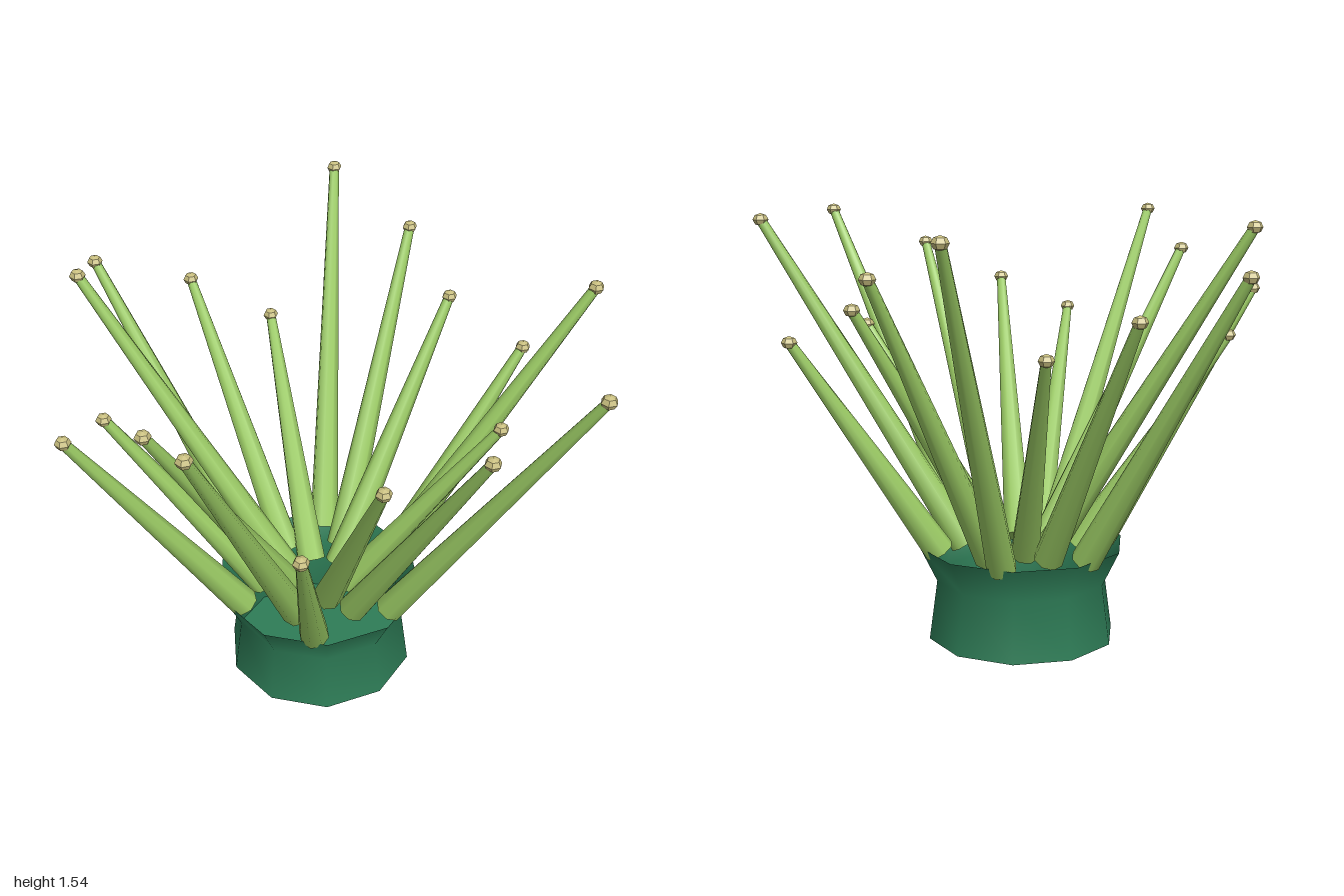
import * as THREE from 'three';

export function createModel() {
  const model = new THREE.Group();
  model.name = 'spikyPlant';
  const potGreen = new THREE.MeshStandardMaterial({ color: 0x2e7d57, side: THREE.DoubleSide });
  const leafGreen = new THREE.MeshStandardMaterial({ color: 0x9ccc65 });
  const tipYellow = new THREE.MeshStandardMaterial({ color: 0xc9bf80, flatShading: true });
  potGreen.name = 'potGreen';
  leafGreen.name = 'leafGreen';
  tipYellow.name = 'tipYellow';

  const plant = new THREE.Group();
  plant.name = 'plant';
  plant.position.set(-0.036, 0, 0.05);
  model.add(plant);

  const add = (name, geometry, material) => {
    const mesh = new THREE.Mesh(geometry, material);
    mesh.name = name;
    plant.add(mesh);
    return mesh;
  };

  // Open, waisted ten-sided base with a closed bottom
  const profile = [[0.346, 0], [0.316, 0.22], [0.379, 0.35]].map(([r, y]) => new THREE.Vector2(r, y));
  add('baseWall', new THREE.LatheGeometry(profile, 10).rotateY(Math.PI / 2), potGreen);
  add('baseFloor', new THREE.CircleGeometry(0.346, 10).rotateX(Math.PI / 2), potGreen);

  // Ring of 18 tapered spikes, with cycling root radius and height
  const up = new THREE.Vector3(0, 1, 0);
  const rootRadius = [0.11, 0.31, 0.21];
  const tipHeight = [1.122, 1.52, 1.388, 1.255];
  const bead = new THREE.SphereGeometry(0.028, 6, 4).rotateY(Math.PI / 2).scale(1, 0.82, 1);
  for (let i = 0; i < 18; i++) {
    const angle = (i / 18) * Math.PI * 2;
    const at = (r, y) => new THREE.Vector3(r * Math.cos(angle), y, r * Math.sin(angle));
    const r0 = rootRadius[i % 3];
    const y1 = tipHeight[i % 4];
    const root = at(r0, 0.34);
    const tip = at(r0 + 0.52 + (y1 - 1.122) * 0.505, y1);
    const along = tip.clone().sub(root);

    const spike = add('spike', new THREE.CylinderGeometry(0.018, 0.055, along.length(), 8), leafGreen);
    spike.position.copy(root).add(tip).multiplyScalar(0.5);
    spike.quaternion.setFromUnitVectors(up, along.normalize());

    add('spikeTip', bead, tipYellow).position.copy(tip);
  }
  return model;
}
